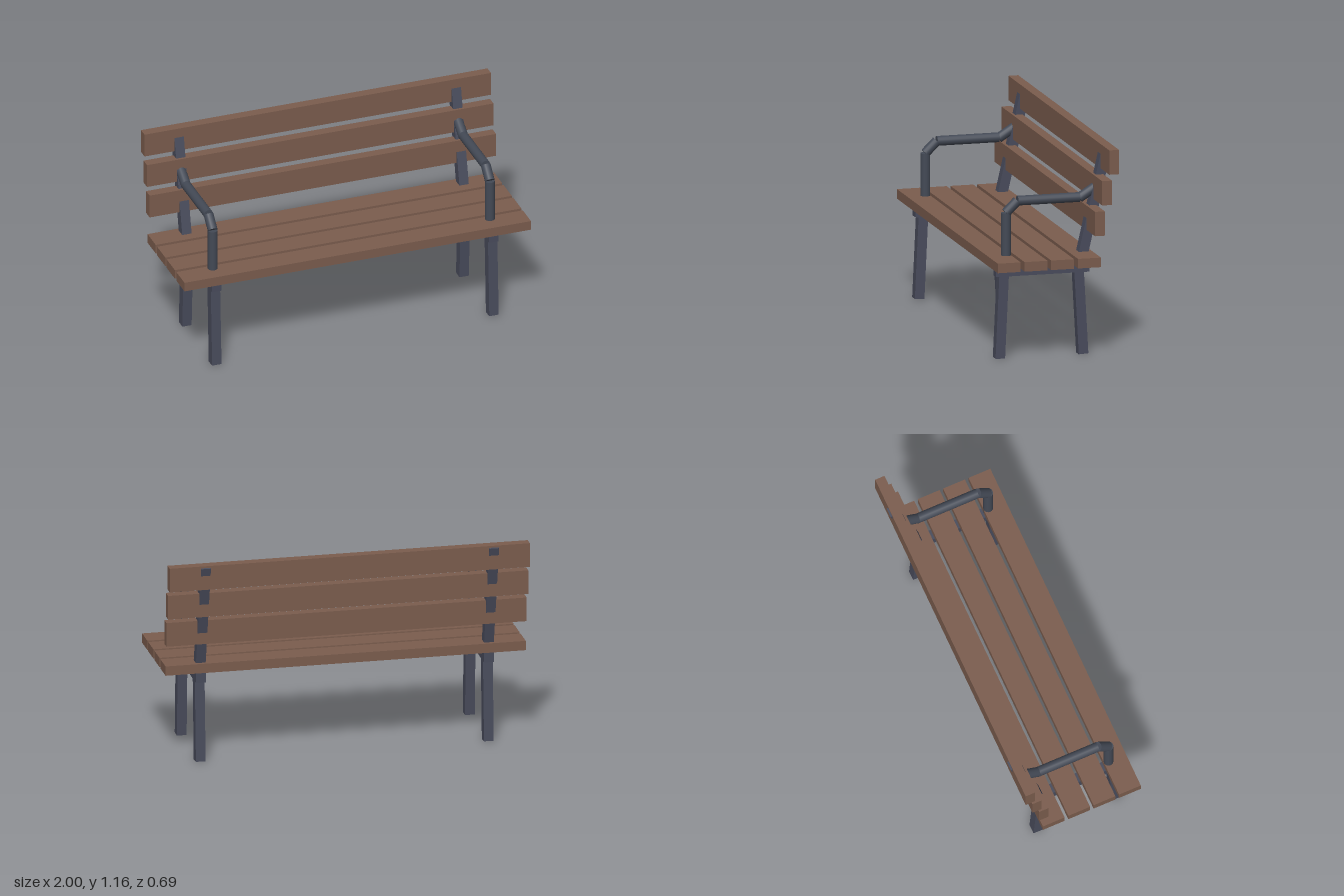
import * as THREE from 'three';

export function createModel() {
  const bench = new THREE.Group();
  bench.name = 'bench';

  const wood = new THREE.MeshStandardMaterial({ color: 0x7a5c4d });
  wood.name = 'brown wood';
  const iron = new THREE.MeshStandardMaterial({ color: 0x484b5b });
  iron.name = 'grey iron';
  const pipe = new THREE.MeshStandardMaterial({ color: 0x434955 });
  pipe.name = 'dark pipe';

  const add = (parent, name, geometry, material, x, y, z) => {
    const mesh = new THREE.Mesh(geometry, material);
    mesh.name = name;
    mesh.position.set(x, y, z);
    parent.add(mesh);
    return mesh;
  };

  // Bar between two [z, y] points in the side plane
  const bar = (parent, name, a, b, material, makeGeometry) => {
    const dz = b[0] - a[0], dy = b[1] - a[1];
    const mesh = add(parent, name, makeGeometry(Math.hypot(dz, dy)), material,
      0, (a[1] + b[1]) / 2, (a[0] + b[0]) / 2);
    mesh.rotation.x = Math.atan2(dz, dy);
  };
  const squareBar = (length) => new THREE.BoxGeometry(0.054, length, 0.054);
  const roundBar = (length) => new THREE.CylinderGeometry(0.027, 0.027, length, 16);

  // Seat slats
  for (const z of [0.283, 0.132, -0.018, -0.169]) {
    add(bench, 'seatSlat', new THREE.BoxGeometry(2, 0.053, 0.129), wood, 0, 0.541, z);
  }

  // Back slats, stepping backwards as they rise
  for (let i = 0; i < 3; i++) {
    add(bench, 'backSlat', new THREE.BoxGeometry(2, 0.135, 0.055), wood,
      0, 0.755 + i * 0.168, -0.228 - i * 0.04);
  }

  // Side frames
  for (const side of [-1, 1]) {
    const frame = new THREE.Group();
    frame.name = side > 0 ? 'leftFrame' : 'rightFrame';
    frame.position.x = side * 0.8;
    bench.add(frame);

    add(frame, 'seatRail', new THREE.BoxGeometry(0.055, 0.06, 0.525), iron, 0, 0.485, 0.045);
    bar(frame, 'frontLeg', [0.284, 0.0015], [0.262, 0.475], iron, squareBar);
    bar(frame, 'backLeg', [-0.185, 0.0015], [-0.159, 0.475], iron, squareBar);
    bar(frame, 'backPost', [-0.174, 0.515], [-0.319, 1.152], iron, squareBar);

    // Armrest of straight pipe pieces
    bar(frame, 'armUpright', [0.245, 0.515], [0.245, 0.803], pipe, roundBar);
    bar(frame, 'armElbow', [0.245, 0.803], [0.181, 0.866], pipe, roundBar);
    bar(frame, 'armBar', [0.181, 0.866], [-0.168, 0.866], pipe, roundBar);
    bar(frame, 'armEnd', [-0.168, 0.862], [-0.265, 0.923], pipe, roundBar);
  }

  return bench;
}
